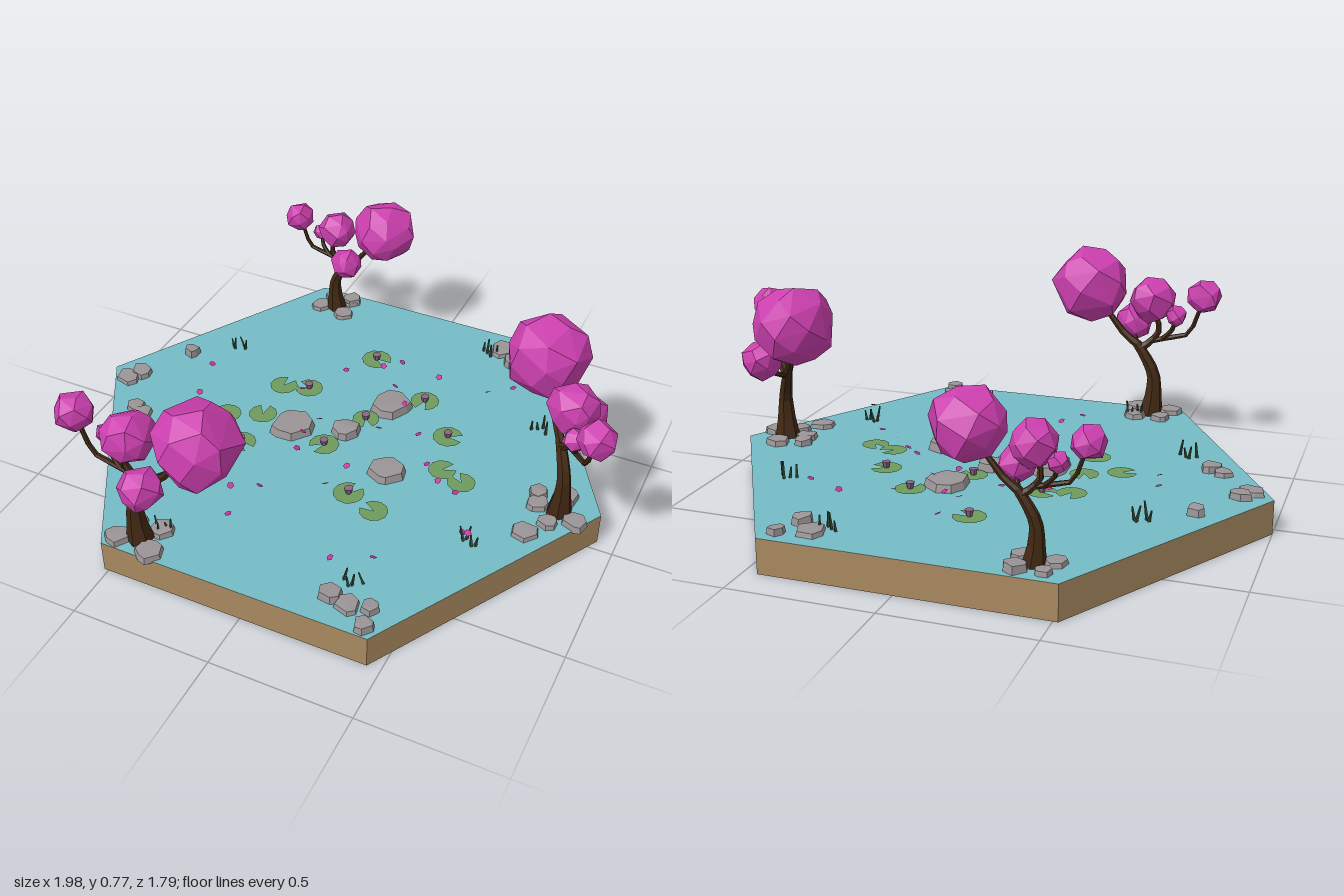
import * as THREE from 'three';
import { ConvexGeometry } from 'three/addons/geometries/ConvexGeometry.js';

const WATER_Y = 0.12;

function seeded(seed) {
  let s = seed * 7919 + 17;
  return () => {
    s = (s * 16807) % 2147483647;
    return s / 2147483647;
  };
}

function makeMaterials() {
  const flat = (name, color, side = THREE.FrontSide) =>
    Object.assign(new THREE.MeshStandardMaterial({ color, flatShading: true, side }), { name });
  return {
    water: flat('water', 0x74bbc5),
    earth: flat('earth', 0xa88960),
    bark: flat('bark', 0x412813),
    blossom: flat('blossom', 0xcb3fae),
    stone: flat('stone', 0x9a9496),
    pad: flat('lily pad green', 0x6f9a5e, THREE.DoubleSide),
    bud: flat('lily bud', 0x8d6488),
    petal: flat('petal', 0xc72f9c, THREE.DoubleSide),
    reed: flat('reed green', 0x33503a, THREE.DoubleSide),
  };
}

function add(parent, name, geometry, material, x = 0, y = 0, z = 0) {
  const mesh = new THREE.Mesh(geometry, material);
  mesh.name = name;
  mesh.position.set(x, y, z);
  parent.add(mesh);
  return mesh;
}

// Faceted ball: convex hull of jittered points spread over a sphere
function facetedBall(r, count, seed) {
  const rnd = seeded(seed);
  const pts = [];
  for (let i = 0; i < count; i++) {
    const y = 1 - (2 * i + 1) / count;
    const a = i * 2.39996 + (rnd() - 0.5) * 0.5;
    const k = Math.sqrt(1 - y * y);
    pts.push(new THREE.Vector3(Math.cos(a) * k, y, Math.sin(a) * k).multiplyScalar(r * (0.97 + rnd() * 0.13)));
  }
  return new ConvexGeometry(pts);
}

// Flat irregular stone: wide lower outline, smaller top outline
function stoneGeometry(r, h, seed, sides = 7) {
  const rnd = seeded(seed);
  const pts = [];
  for (let i = 0; i < sides; i++) {
    const a = ((i + rnd() * 0.5) / sides) * Math.PI * 2;
    const k = r * (0.85 + rnd() * 0.25);
    const c = Math.cos(a), s = Math.sin(a);
    pts.push(new THREE.Vector3(c * k, -0.005, s * k));
    pts.push(new THREE.Vector3(c * k * 0.88, h * (0.75 + rnd() * 0.25), s * k * 0.88));
  }
  return new ConvexGeometry(pts);
}

// Tapered limb: a tube whose rings are scaled by interpolated radii
function limbGeometry(points, radii) {
  const curve = new THREE.CatmullRomCurve3(points.map((p) => new THREE.Vector3(...p)));
  const steps = (points.length - 1) * 2, sides = 6;
  const geo = new THREE.TubeGeometry(curve, steps, 1, sides);
  const pos = geo.attributes.position, v = new THREE.Vector3();
  for (let i = 0; i < pos.count; i++) {
    const t = Math.floor(i / (sides + 1)) / steps;
    const f = t * (radii.length - 1);
    const k = Math.min(Math.floor(f), radii.length - 2);
    const r = THREE.MathUtils.lerp(radii[k], radii[k + 1], f - k);
    const c = curve.getPointAt(t);
    v.fromBufferAttribute(pos, i).sub(c).multiplyScalar(r).add(c);
    pos.setXYZ(i, v.x, v.y, v.z);
  }
  return geo;
}

function makeTree(m, seed) {
  const tree = new THREE.Group();
  tree.name = 'blossomTree';
  add(tree, 'trunk', limbGeometry(
    [[0, 0, 0], [-0.008, 0.09, 0], [-0.005, 0.16, 0], [0.03, 0.23, 0], [0.065, 0.28, 0]],
    [0.048, 0.034, 0.026, 0.022, 0.018]), m.bark);
  const branches = [
    [[0.055, 0.27, 0], [0.12, 0.32, 0], [0.16, 0.37, 0], [0.23, 0.45, 0]],
    [[0.05, 0.26, 0], [0.01, 0.29, 0.01], [-0.02, 0.34, 0.01], [0.01, 0.42, 0.01]],
    [[0.01, 0.29, 0.01], [-0.06, 0.31, 0.01], [-0.13, 0.33, 0.01], [-0.18, 0.45, 0.01]],
    [[-0.03, 0.3, 0.01], [-0.07, 0.34, 0], [-0.09, 0.4, -0.02]],
    [[0.055, 0.26, 0], [0.08, 0.28, 0.05], [0.1, 0.32, 0.09]],
  ];
  branches.forEach((p, i) => add(tree, 'branch', limbGeometry(p, [i < 2 ? 0.017 : 0.011, 0.008]), m.bark));
  // Foliage: x, y, z, radius, point count
  [
    [0.25, 0.5, 0, 0.142, 30],
    [0.01, 0.455, 0.01, 0.087, 24],
    [-0.19, 0.48, 0.01, 0.066, 20],
    [-0.09, 0.405, -0.02, 0.04, 16],
    [0.1, 0.34, 0.1, 0.072, 22],
  ].forEach(([x, y, z, r, n], i) => add(tree, 'foliage', facetedBall(r, n, seed * 10 + i), m.blossom, x, y, z));
  // Stones around the roots
  [[-0.07, 0.03, 0.05], [0.06, 0.05, 0.05], [0.05, -0.06, 0.045], [-0.05, -0.06, 0.04]].forEach(([x, z, r], i) =>
    add(tree, 'rootStone', stoneGeometry(r, 0.022, seed * 20 + i), m.stone, x, 0, z));
  return tree;
}

export function createModel() {
  const model = new THREE.Group();
  model.name = 'blossomPond';
  const m = makeMaterials();

  // Hexagonal slab with water on top
  add(model, 'pondSlab', new THREE.CylinderGeometry(0.968, 0.968, WATER_Y, 6, 1, false, Math.PI / 2),
    [m.earth, m.water, m.earth], -0.032, WATER_Y / 2, -0.04);

  // Trees: x, z, turn, scale
  [[-0.41, 0.72, 0, 1], [-0.41, -0.775, 0, 0.82], [0.8, 0, 2.24, 0.97]].forEach(([x, z, turn, s], i) => {
    const tree = makeTree(m, i + 1);
    tree.position.set(x, WATER_Y, z);
    tree.rotation.y = turn;
    tree.scale.setScalar(s);
    model.add(tree);
  });

  // Stepping stones: x, z, radius
  [[0.06, -0.27, 0.08], [-0.22, -0.005, 0.083], [-0.03, -0.065, 0.054], [0.19, 0.075, 0.067]].forEach(([x, z, r], i) =>
    add(model, 'steppingStone', stoneGeometry(r, 0.033, 100 + i, 8), m.stone, x, WATER_Y, z));

  // Shore stones: x, z, radius
  [
    [0.31, -0.78, 0.055], [0.41, -0.82, 0.032], [0.37, -0.72, 0.04], [-0.92, 0, 0.05], [-0.89, -0.05, 0.045],
    [-0.78, -0.24, 0.032], [-0.8, 0.14, 0.038], [-0.75, 0.17, 0.042], [0.27, 0.68, 0.042], [0.34, 0.7, 0.045],
    [0.41, 0.68, 0.035], [0.42, 0.76, 0.035], [0.73, 0.15, 0.05], [0.71, -0.05, 0.038], [-0.37, -0.83, 0.04],
  ].forEach(([x, z, r], i) =>
    add(model, 'shoreStone', stoneGeometry(r, 0.018 + (i % 3) * 0.006, 200 + i, 6), m.stone, x, WATER_Y, z));

  // Lily pads: x, z, radius, has bud
  [
    [-0.11, -0.51, 0.057, 1], [-0.36, -0.21, 0.052, 0], [-0.265, -0.235, 0.052, 1], [0.16, -0.35, 0.054, 1],
    [0.315, -0.195, 0.055, 1], [-0.35, -0.025, 0.052, 0], [-0.47, 0.03, 0.052, 0], [0.005, -0.16, 0.05, 1],
    [0.365, -0.02, 0.05, 0], [0.45, 0.015, 0.05, 0], [-0.07, 0.035, 0.055, 1], [-0.345, 0.15, 0.054, 1],
    [0.12, 0.23, 0.055, 1], [0.235, 0.275, 0.05, 0],
  ].forEach(([x, z, r, bud], i) => {
    const pad = add(model, 'lilyPad', new THREE.CircleGeometry(r, 10, i * 1.7, 5.6), m.pad, x, WATER_Y + 0.006, z);
    pad.rotation.x = -Math.PI / 2;
    if (bud) add(model, 'lilyBud', new THREE.CylinderGeometry(0.016, 0.01, 0.022, 7), m.bud, x, WATER_Y + 0.018, z);
  });

  // Drifting petals
  [
    [-0.01, -0.53], [0.17, -0.46], [0.36, -0.48], [0.45, -0.5], [-0.05, -0.44], [0.03, -0.37], [-0.16, -0.34],
    [0.11, -0.27], [-0.28, -0.21], [-0.64, -0.16], [-0.61, -0.01], [0.07, -0.13], [0.23, -0.12], [0.38, 0.06],
    [-0.14, 0.06], [-0.13, 0.13], [0.06, 0.12], [0.05, 0.27], [0.46, 0.1], [-0.26, 0.38], [-0.15, 0.37],
    [-0.19, 0.52], [0.2, 0.54], [0.34, 0.51], [0.55, 0.26], [0.58, 0.29], [-0.13, -0.05], [0.31, -0.01],
  ].forEach(([x, z], i) => {
    const y = WATER_Y + 0.01 + ((i * 7) % 11) * 0.005;
    const petal = add(model, 'petal', new THREE.CircleGeometry(0.013, 5), m.petal, x, y, z);
    petal.rotation.set(-Math.PI / 2 + Math.sin(i * 2.1) * 0.5, Math.cos(i * 1.3) * 0.4, i);
  });

  // Reed clumps of thin leaning blades
  [[-0.63, -0.35], [0.6, -0.38], [-0.65, 0.27], [0.58, 0.27], [0.27, -0.74], [0.31, 0.61], [-0.36, 0.66]]
    .forEach(([x, z], c) => {
      for (let i = 0; i < 4; i++) {
        const h = 0.04 + ((i * 3 + c) % 4) * 0.008;
        const blade = add(model, 'reed', new THREE.CylinderGeometry(0.003, 0.006, h, 4), m.reed,
          x + (i - 1.5) * 0.018, WATER_Y + h / 2 - 0.002, z + Math.sin(i * 2 + c) * 0.015);
        blade.rotation.set(Math.sin(c + i) * 0.2, 0, Math.cos(c * 2 + i * 3) * 0.2);
      }
    });

  return model;
}
